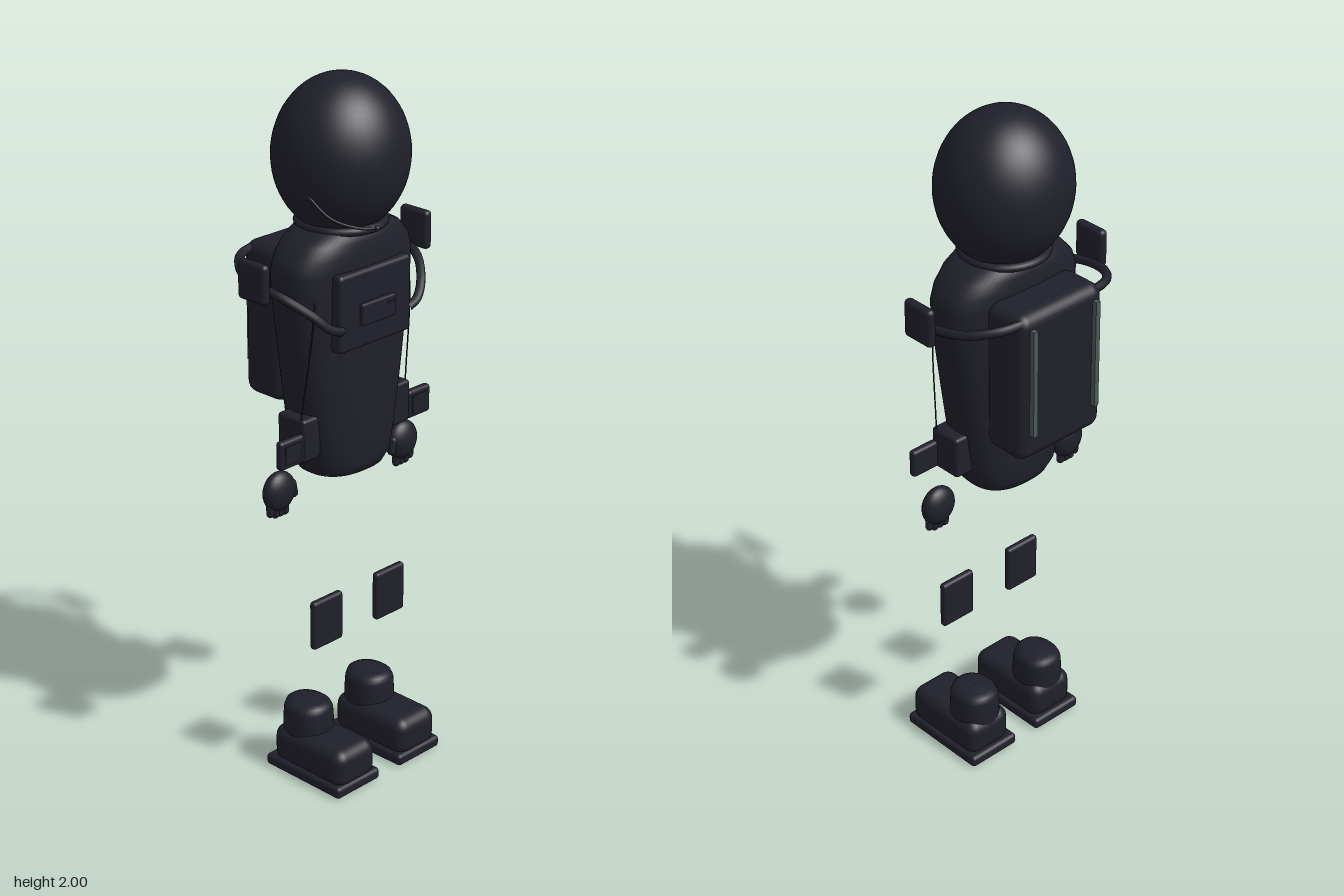
import * as THREE from 'three';
import { RoundedBoxGeometry } from 'three/addons/geometries/RoundedBoxGeometry.js';

const suitDark = new THREE.MeshStandardMaterial({ color: 0x20202b });
suitDark.name = 'suitDark';
const railGrey = new THREE.MeshStandardMaterial({ color: 0x4c5a5a });
railGrey.name = 'railGrey';

function add(parent, name, geometry, position = [0, 0, 0], material = suitDark) {
  const mesh = new THREE.Mesh(geometry, material);
  mesh.name = name;
  mesh.position.set(...position);
  parent.add(mesh);
  return mesh;
}

const rbox = (w, h, d, r) => new RoundedBoxGeometry(w, h, d, 3, r);

function tube(points, radius) {
  const curve = new THREE.CatmullRomCurve3(points.map((p) => new THREE.Vector3(...p)));
  return new THREE.TubeGeometry(curve, 40, radius, 10);
}

// Closed skin through superellipse rings: [y, halfWidth, halfDepth, zCentre]
function loft(rings, power, n = 48) {
  const pos = [], index = [];
  const bend = (v) => Math.sign(v) * Math.abs(v) ** (2 / power);
  for (const [y, w, d, z] of rings) {
    for (let j = 0; j < n; j++) {
      const t = (j / n) * Math.PI * 2;
      pos.push(w * bend(Math.cos(t)), y, z + d * bend(Math.sin(t)));
    }
  }
  for (let i = 0; i < rings.length - 1; i++) {
    for (let j = 0; j < n; j++) {
      const a = i * n + j, b = i * n + (j + 1) % n;
      index.push(b, a, a + n, b, a + n, b + n);
    }
  }
  const g = new THREE.BufferGeometry();
  g.setAttribute('position', new THREE.Float32BufferAttribute(pos, 3));
  g.setIndex(index);
  g.computeVertexNormals();
  return g;
}

export function createModel() {
  const model = new THREE.Group();
  model.name = 'spacesuit';

  // Helmet, neck ring and microphone
  add(model, 'helmet', new THREE.SphereGeometry(1, 48, 32), [0, 1.785, 0.02]).scale.set(0.189, 0.215, 0.18);
  const neck = add(model, 'neckRing', new THREE.TorusGeometry(0.115, 0.012, 10, 40), [0, 1.605, 0.02]);
  neck.rotation.x = Math.PI / 2;
  add(model, 'microphoneBoom', tube([[-0.17, 1.72, 0.06], [-0.15, 1.665, 0.13], [-0.1, 1.64, 0.18], [-0.05, 1.632, 0.198]], 0.004));
  add(model, 'microphone', new THREE.SphereGeometry(0.008, 12, 8), [-0.05, 1.632, 0.198]);

  // Torso
  add(model, 'torso', loft([
    [0.9, 0.001, 0.001, 0.02], [0.901, 0.08, 0.075, 0.02], [0.912, 0.12, 0.095, 0.02],
    [0.94, 0.143, 0.106, 0.02], [1.0, 0.156, 0.109, 0.02], [1.1, 0.172, 0.111, 0.022],
    [1.2, 0.188, 0.112, 0.022], [1.32, 0.206, 0.112, 0.022], [1.43, 0.222, 0.112, 0.022],
    [1.5, 0.226, 0.112, 0.022], [1.54, 0.212, 0.111, 0.022], [1.575, 0.18, 0.108, 0.022],
    [1.6, 0.135, 0.1, 0.022], [1.613, 0.09, 0.08, 0.022], [1.616, 0.001, 0.001, 0.022],
  ], 2.5));

  // Chest unit with its display
  add(model, 'chestUnit', rbox(0.27, 0.215, 0.06, 0.012), [0, 1.398, 0.12]);
  add(model, 'chestDisplay', rbox(0.126, 0.062, 0.02, 0.006), [0, 1.386, 0.153]);
  add(model, 'displayMark', new THREE.BoxGeometry(0.03, 0.006, 0.004), [0.043, 1.4, 0.164]);

  // Life support pack
  add(model, 'backpack', rbox(0.298, 0.44, 0.145, 0.035), [0, 1.312, -0.132]);

  for (const s of [-1, 1]) {
    const side = s > 0 ? 'left' : 'right';

    add(model, side + 'PackRail', new THREE.BoxGeometry(0.015, 0.32, 0.018), [s * 0.111, 1.335, -0.21], railGrey);

    // Hose from the pack round the shoulder to the chest unit
    add(model, side + 'Hose', tube([
      [s * 0.12, 1.51, -0.185], [s * 0.19, 1.505, -0.165], [s * 0.245, 1.49, -0.105],
      [s * 0.264, 1.475, -0.02], [s * 0.25, 1.455, 0.06], [s * 0.205, 1.41, 0.12],
      [s * 0.165, 1.37, 0.143], [s * 0.125, 1.355, 0.146],
    ], 0.0125));

    // Seam piping from shoulder to hip
    add(model, side + 'Piping', tube([[s * 0.165, 1.56, 0.09], [s * 0.182, 1.4, 0.1], [s * 0.202, 1.1, 0.07]], 0.002));

    // Shoulder plate, hip pouch and wrist screen
    add(model, side + 'ShoulderPlate', rbox(0.028, 0.11, 0.102, 0.013), [s * 0.306, 1.505, 0.006]);
    add(model, side + 'HipPouch', rbox(0.066, 0.122, 0.1, 0.01), [s * 0.174, 1.045, 0.035]);
    add(model, side + 'WristScreen', rbox(0.09, 0.082, 0.024, 0.01), [s * 0.246, 1.028, 0.073]);
    add(model, side + 'WristGlass', new THREE.BoxGeometry(0.06, 0.052, 0.003), [s * 0.246, 1.028, 0.086]);

    // Glove
    const glove = new THREE.Group();
    glove.name = side + 'Glove';
    glove.position.set(s * 0.241, 0.898, 0.024);
    add(glove, 'palm', new THREE.SphereGeometry(1, 24, 16)).scale.set(0.054, 0.057, 0.031);
    for (let i = 0; i < 4; i++) {
      const finger = add(glove, 'finger', new THREE.CapsuleGeometry(0.0125, 0.035, 5, 12),
        [s * (-0.022 + i * 0.018), -0.046 + (i === 3 ? 0.008 : 0), 0]);
      finger.scale.z = 0.85;
    }
    const thumb = add(glove, 'thumb', new THREE.CapsuleGeometry(0.013, 0.03, 5, 12), [s * -0.045, -0.004, 0.006]);
    thumb.rotation.z = s * -0.2;
    model.add(glove);

    // Knee pad
    add(model, side + 'KneePad', rbox(0.114, 0.146, 0.023, 0.01), [s * 0.124, 0.488, 0.086]);

    // Boot
    const boot = new THREE.Group();
    boot.name = side + 'Boot';
    boot.position.x = s * 0.124;
    add(boot, 'sole', rbox(0.17, 0.035, 0.288, 0.012), [0, 0.0175, 0.071]);
    add(boot, 'foot', rbox(0.152, 0.115, 0.27, 0.035), [0, 0.075, 0.077]);
    add(boot, 'shaft', loft([
      [0.08, 0.068, 0.07, 0.015], [0.15, 0.067, 0.07, 0.015], [0.19, 0.064, 0.068, 0.015],
      [0.207, 0.055, 0.064, 0.015], [0.214, 0.035, 0.05, 0.015], [0.215, 0.001, 0.001, 0.015],
    ], 2.3, 32));
    model.add(boot);
  }
  return model;
}
